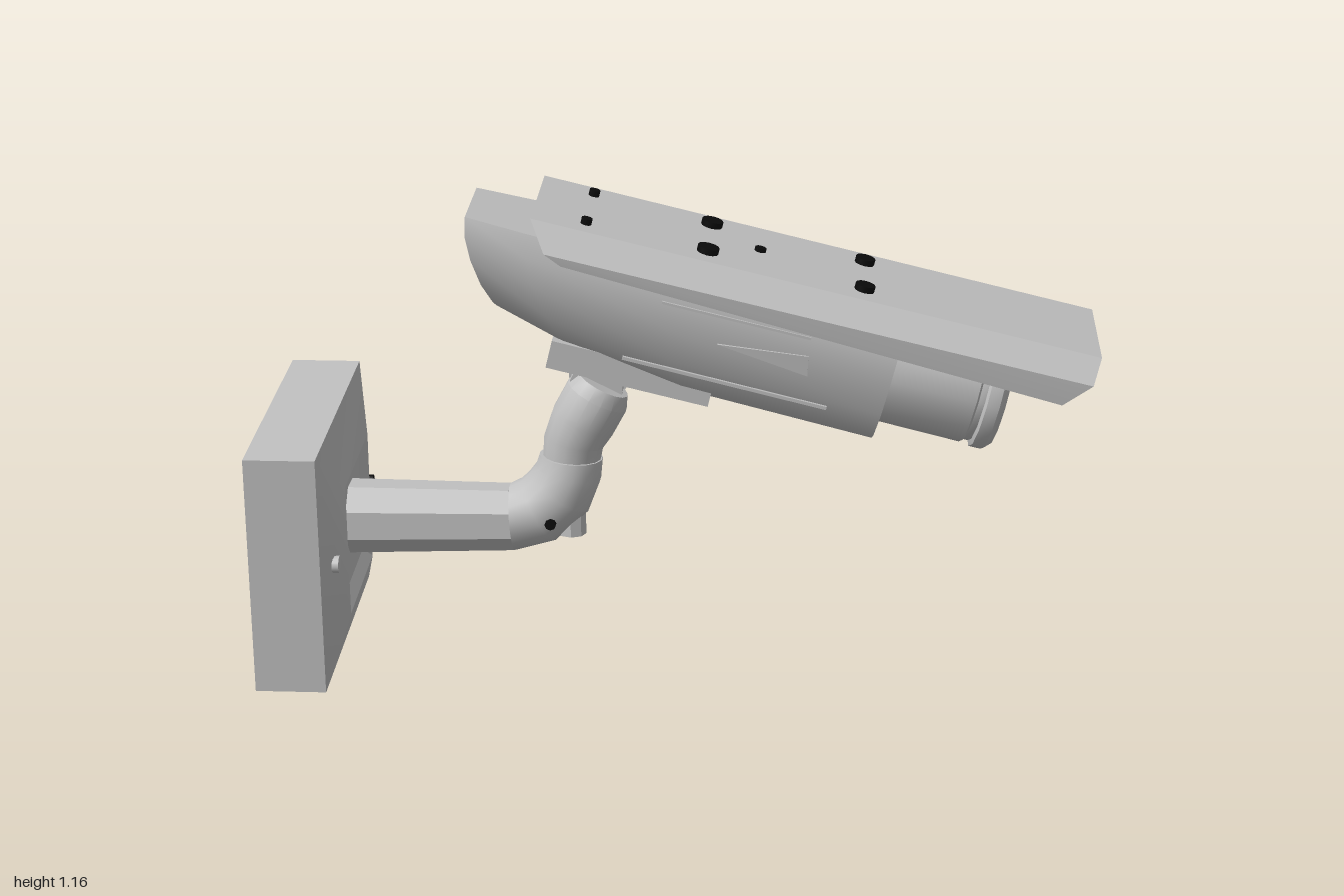
import * as THREE from 'three';
import { toCreasedNormals } from 'three/addons/utils/BufferGeometryUtils.js';

// Skin cross-sections that advance along +x; each runs from +y toward +z.
function loft(rings, closed = true) {
  const pos = [];
  const tri = (...pts) => pts.forEach((p) => pos.push(...p));
  const n = rings[0].length;
  for (let i = 0; i < rings.length - 1; i++) {
    for (let j = 0; j < (closed ? n : n - 1); j++) {
      const k = (j + 1) % n;
      const [a, b, c, d] = [rings[i][j], rings[i][k], rings[i + 1][k], rings[i + 1][j]];
      tri(a, b, c);
      tri(a, c, d);
    }
  }
  if (closed) {
    for (const [ring, end] of [[rings[0], false], [rings[rings.length - 1], true]]) {
      const mid = [0, 1, 2].map((q) => ring.reduce((s, p) => s + p[q], 0) / n);
      for (let j = 0; j < n; j++) {
        const k = (j + 1) % n;
        if (end) tri(mid, ring[j], ring[k]);
        else tri(mid, ring[k], ring[j]);
      }
    }
  }
  const g = new THREE.BufferGeometry();
  g.setAttribute('position', new THREE.Float32BufferAttribute(pos, 3));
  return toCreasedNormals(g, 0.5);
}

// Round tube through stations [x, y, radius, heading] in the xy plane.
function pipe(stations, sides) {
  return loft(stations.map(([x, y, r, h]) => Array.from({ length: sides }, (_, j) => {
    const a = ((j + 0.5) / sides) * Math.PI * 2;
    const v = Math.cos(a) * r;
    return [x - Math.sin(h) * v, y + Math.cos(h) * v, Math.sin(a) * r];
  })));
}

export function createModel() {
  const grey = new THREE.MeshStandardMaterial({ color: 0xc0c0c0, side: THREE.DoubleSide });
  grey.name = 'light grey';
  const black = new THREE.MeshStandardMaterial({ color: 0x0a0a0a });
  black.name = 'black';

  const model = new THREE.Group();
  model.name = 'securityCamera';
  const add = (parent, name, geo, mat, x = 0, y = 0, z = 0) => {
    const m = new THREE.Mesh(geo, mat);
    m.name = name;
    m.position.set(x, y, z);
    parent.add(m);
    return m;
  };
  // Short cylinder pointing along a chosen axis
  const disc = (r, h, axis, sides = 12) => {
    const g = new THREE.CylinderGeometry(r, r, h, sides);
    if (axis === 'x') g.rotateZ(-Math.PI / 2);
    if (axis === 'z') g.rotateX(Math.PI / 2);
    return toCreasedNormals(g, 0.6);
  };

  // Wall plate: bevelled front with a shallow recess
  const plate = new THREE.Group();
  plate.name = 'wallMount';
  plate.position.set(0, 0.328, 0);
  plate.rotation.x = 0.068;
  model.add(plate);
  const rect = (x, hy, hz) => [[x, hy, -hz], [x, hy, hz], [x, -hy, hz], [x, -hy, -hz]];
  add(plate, 'wallPlate', loft([rect(-1, 0.298, 0.34), rect(-0.83, 0.298, 0.34),
    rect(-0.79, 0.165, 0.175), rect(-0.81, 0.135, 0.145)]), grey);
  add(plate, 'plateScrew', disc(0.021, 0.03, 'x'), black, -0.808, 0, -0.255);
  add(plate, 'plateScrewCover', disc(0.021, 0.02, 'x'), grey, -0.808, 0, 0.255);

  // Arm, elbow and swivel joint
  const arm = new THREE.Group();
  arm.name = 'arm';
  arm.position.z = -0.004;
  arm.rotation.x = 0.0;
  model.add(arm);
  add(arm, 'armTube', pipe([[-0.83, 0.345, 0.092, 0], [-0.41, 0.35, 0.083, 0.08]], 8), grey);
  add(arm, 'elbow', pipe([[-0.41, 0.35, 0.083, 0.08], [-0.345, 0.372, 0.087, 0.5],
    [-0.295, 0.42, 0.087, 1.0], [-0.272, 0.47, 0.082, 1.35], [-0.265, 0.51, 0.078, 1.5]], 16), grey);
  add(arm, 'swivel', pipe([[-0.265, 0.49, 0.07, 1.45], [-0.258, 0.55, 0.074, 1.35],
    [-0.235, 0.6, 0.08, 1.15], [-0.2, 0.665, 0.08, 1.1], [-0.185, 0.695, 0.066, 1.1]], 16), grey);
  add(arm, 'clampKnob', disc(0.035, 0.12, 'y', 8), grey, -0.265, 0.37, 0);
  for (const s of [-1, 1]) {
    add(arm, 'elbowScrew', disc(0.014, 0.02, 'z', 8), black, -0.31, 0.36, s * 0.078);
  }

  // Camera head, tilted down; +x runs along the lens axis
  const head = new THREE.Group();
  head.name = 'cameraHead';
  head.position.set(0, 0.876, -0.032);
  head.rotation.set(0.07, 0, -0.237);
  model.add(head);

  // Housing: stations are [top x, bottom x, half width, bottom y]
  const top = 0.137;
  const half = [[0.88, 0], [1, 0.2], [0.97, 0.45], [0.86, 0.72], [0.6, 0.94], [0.45, 1]];
  const section = ([xt, xb, w, b]) => {
    const pt = (s) => ([f, t]) => [xt + (xb - xt) * t ** 1.5, top + (b - top) * t, s * f * w];
    return [...half.map(pt(1)), ...[...half].reverse().map(pt(-1))];
  };
  add(head, 'housing', loft([[-0.547, -0.43, 0.133, -0.08], [-0.4, -0.25, 0.15, -0.128],
    [-0.05, 0.05, 0.166, -0.17], [0.52, 0.52, 0.17, -0.177]].map(section)), grey);

  // Side trim: wedge and slim ribs on both sides
  const wedge = new THREE.Shape([[0.1, -0.005], [0.315, 0.02], [0.325, -0.03]]
    .map(([x, y]) => new THREE.Vector2(x, y)));
  for (const s of [-1, 1]) {
    const w = add(head, 'sideWedge', new THREE.ExtrudeGeometry(wedge, { depth: 0.008, bevelEnabled: false }),
      grey, 0, 0, s * 0.164 - 0.004);
    w.rotation.x = s * 0.06;
    add(head, 'upperRib', new THREE.BoxGeometry(0.36, 0.006, 0.008), grey, 0.13, 0.065, s * 0.168);
    const low = add(head, 'lowerRib', new THREE.BoxGeometry(0.5, 0.008, 0.008), grey, 0.14, -0.105, s * 0.14);
    low.rotation.y = -s * 0.012;
  }

  // Lens barrel with bevelled front ring
  const profile = [[0, 0.4], [0.15, 0.4], [0.153, 0.73], [0.145, 0.735], [0.145, 0.75],
    [0.158, 0.755], [0.158, 0.785], [0.143, 0.8], [0.105, 0.8], [0.1, 0.775], [0, 0.775]];
  const barrel = new THREE.LatheGeometry(profile.map(([r, y]) => new THREE.Vector2(r, y)), 14);
  barrel.rotateZ(-Math.PI / 2);
  add(head, 'lensBarrel', toCreasedNormals(barrel, 0.5), grey);
  add(head, 'lensGlass', disc(0.104, 0.008, 'x', 14), black, 0.797);
  for (let i = 0; i < 3; i++) {
    const a = Math.PI + (i * Math.PI * 2) / 3;
    add(head, 'lensScrew', disc(0.012, 0.01, 'x', 8), black, 0.799, Math.cos(a) * 0.126, Math.sin(a) * 0.126);
  }

  // Sun hood: folded sheet with slanted skirt ends
  const fold = (pts) => [...pts.map(([x, y, z]) => [x, y, -z]).reverse(), ...pts];
  add(head, 'sunHood', loft([
    fold([[-0.395, 0.19, 0.172], [-0.345, 0.13, 0.225], [-0.3, 0.11, 0.222]]),
    fold([[0.98, 0.19, 0.172], [0.972, 0.135, 0.225], [0.915, 0.07, 0.222]]),
  ], false), grey);
  add(head, 'hoodSpacer', new THREE.BoxGeometry(0.62, 0.06, 0.12), grey, 0.12, 0.158, 0);
  for (const [x, z, r] of [[-0.267, 0.112, 0.013], [0.026, 0.102, 0.026], [0.406, 0.1, 0.024]]) {
    for (const s of [-1, 1]) add(head, 'hoodBolt', disc(r, 0.022, 'y'), black, x, 0.194, s * z);
  }
  add(head, 'hoodCentreBolt', disc(0.014, 0.012, 'y'), black, 0.15, 0.193, 0);

  // Mounting bracket: base under the housing and one rounded ear
  add(head, 'bracketBase', new THREE.BoxGeometry(0.4, 0.07, 0.19), grey, -0.082, -0.157, 0);
  const ear = new THREE.Shape();
  ear.moveTo(-0.28, -0.15);
  ear.lineTo(-0.228, -0.235);
  ear.absarc(-0.153, -0.235, 0.075, Math.PI, Math.PI * 2, false);
  ear.quadraticCurveTo(-0.06, -0.19, 0.1, -0.19);
  ear.lineTo(0.1, -0.15);
  add(head, 'bracketEar', toCreasedNormals(
    new THREE.ExtrudeGeometry(ear, { depth: 0.03, bevelEnabled: false, curveSegments: 10 }), 0.6), grey, 0, 0, -0.092);
  add(head, 'pivot', disc(0.065, 0.12, 'z', 16), grey, -0.153, -0.225, 0);
  add(head, 'pivotScrew', disc(0.03, 0.02, 'z'), black, -0.153, -0.235, -0.09);
  for (const x of [-0.02, 0.08]) {
    add(head, 'bracketScrew', disc(0.013, 0.012, 'y', 8), black, x, -0.192, -0.05);
  }
  return model;
}
